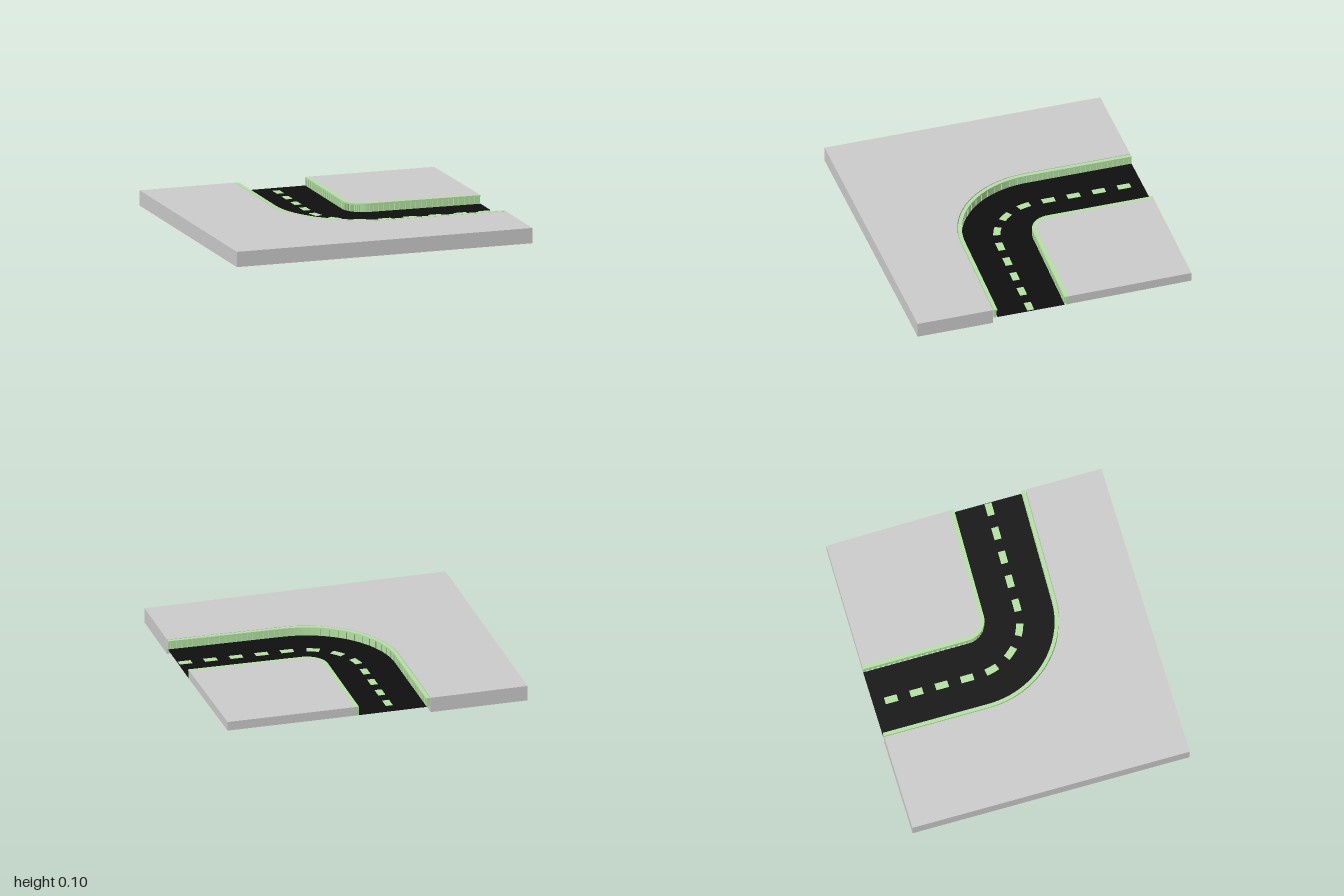
import * as THREE from 'three';

const grey = new THREE.MeshStandardMaterial({ color: 0xcccccc, side: THREE.DoubleSide });
const black = new THREE.MeshStandardMaterial({ color: 0x0f0f0f, side: THREE.DoubleSide });
const green = new THREE.MeshStandardMaterial({ color: 0xb4e2a2, side: THREE.DoubleSide });

// Bend: straight in from the back, quarter turn, then out to the +x side.
const CX = 0.26, CZ = -0.22, BACK = -0.92, R = 0.365;
const IN = CZ - BACK, ARC = R * Math.PI / 2, OUT = 1 - CX;
const LENGTH = IN + ARC + OUT;

// Point at distance s along the centre line, shifted to lane radius r.
function at(r, s) {
  if (s <= IN) return [CX - r, BACK + s];
  if (s <= IN + ARC) {
    const a = (s - IN) / R;
    return [CX - r * Math.cos(a), CZ + r * Math.sin(a)];
  }
  const d = s - IN - ARC;
  return [CX + d, CZ + r + d * 0.027];
}

// Points along the bend at lane radius r.
function line(r, s0 = 0, s1 = LENGTH) {
  const stops = [s0];
  for (let i = 0; i <= 24; i++) {
    const s = IN + ARC * i / 24;
    if (s > s0 + 1e-4 && s < s1 - 1e-4) stops.push(s);
  }
  stops.push(s1);
  return stops.map(s => at(r, s));
}

// Flat outline in x,z raised from y0 to y1.
function slab(name, points, y0, y1, material) {
  const shape = new THREE.Shape(points.map(([x, z]) => new THREE.Vector2(x, -z)));
  const geo = new THREE.ExtrudeGeometry(shape, { depth: y1 - y0, bevelEnabled: false });
  geo.rotateX(-Math.PI / 2).translate(0, y0, 0);
  const mesh = new THREE.Mesh(geo, material);
  mesh.name = name;
  return mesh;
}

// Strip following the bend between two lane radii.
function band(name, r0, r1, y0, y1, material, s0, s1) {
  return slab(name, [...line(r0, s0, s1), ...line(r1, s0, s1).reverse()], y0, y1, material);
}

// Kerb: backing wall, top rail and closely spaced uprights facing the road.
function kerb(name, back, face) {
  const group = new THREE.Group();
  group.name = name;
  const mid = back + (face - back) * 0.6;
  group.add(band('kerbWall', back, mid, 0.04, 0.1, green));
  group.add(band('kerbRail', mid, face, 0.09, 0.1, green));
  const count = 56, step = LENGTH / count;
  for (let i = 0; i < count; i++) {
    const s = i * step;
    group.add(band('kerbUpright', mid, face, 0.04, 0.09, green, s, s + step * 0.5));
  }
  return group;
}

export function createModel() {
  const model = new THREE.Group();
  model.name = 'roadBend';

  // Ground on both sides of the road
  model.add(slab('outerGround', [[-1, BACK], ...line(0.617), [1, 0.92], [-1, 0.92]], 0, 0.1, grey));
  model.add(slab('innerGround', [...line(0.115), [0.99, -0.91]], 0.04, 0.1, grey));

  // Road surface and kerbs
  model.add(band('road', 0.14, 0.588, 0.04, 0.044, black));
  model.add(kerb('outerKerb', 0.612, 0.588));
  model.add(kerb('innerKerb', 0.115, 0.14));

  // Centre line dashes, showing on both faces of the road
  for (let i = 0; i < 12; i++) {
    const s = 0.12 + i * 0.168;
    model.add(band('centreDash', R - 0.023, R + 0.023, 0.038, 0.046, green, s - 0.042, Math.min(s + 0.042, LENGTH)));
  }
  return model;
}
